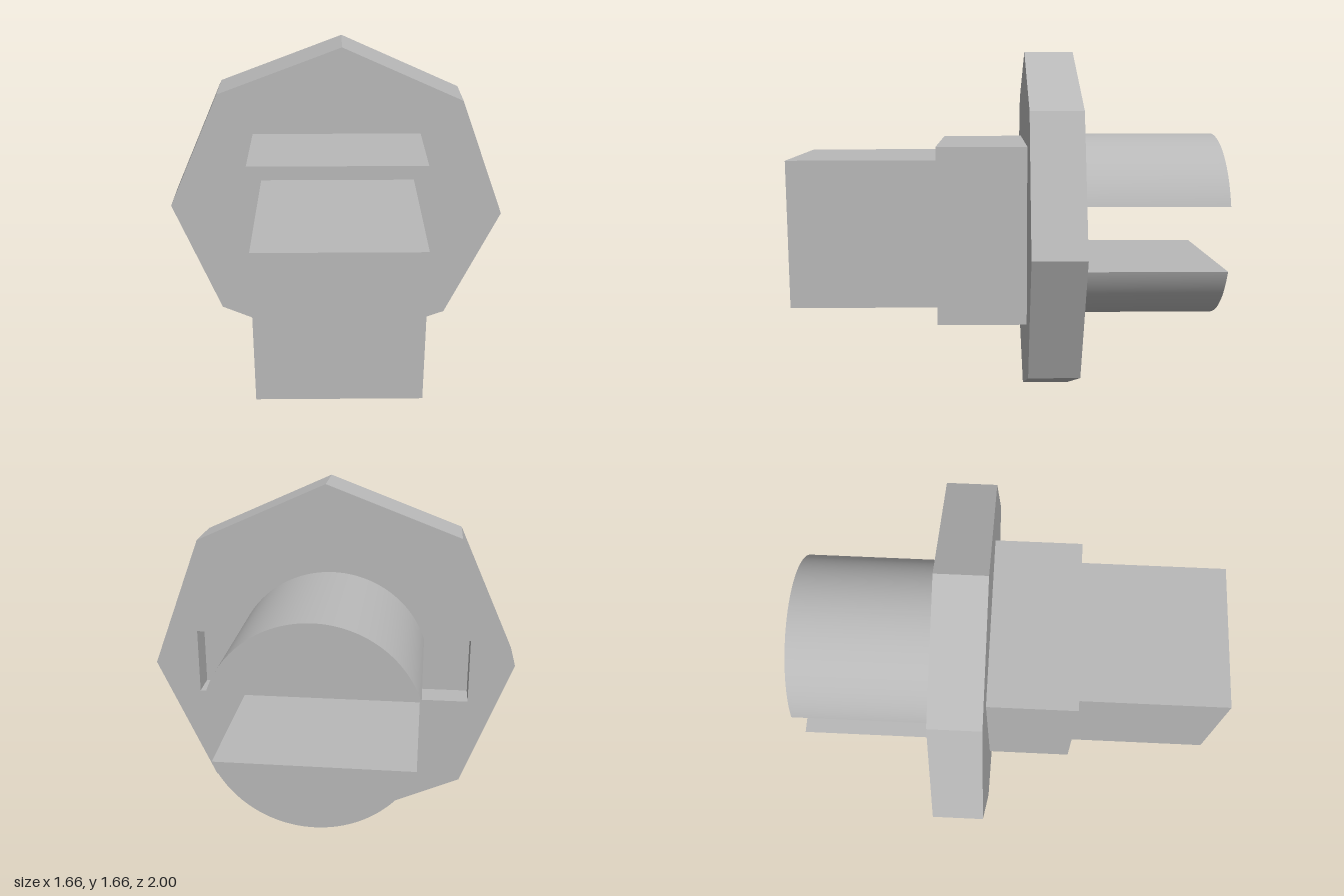
import * as THREE from 'three';
import { toCreasedNormals } from 'three/addons/utils/BufferGeometryUtils.js';

const CX = -0.002, CY = 0.833; // common axis of all parts

export function createModel() {
  const group = new THREE.Group();
  const grey = new THREE.MeshStandardMaterial({ color: 0xb8b8b8 });
  grey.name = 'plain grey';

  const add = (name, geometry) => {
    const mesh = new THREE.Mesh(geometry, grey);
    mesh.name = name;
    group.add(mesh);
  };

  // Square block between two z positions
  const block = (name, size, z0, z1) =>
    add(name, new THREE.BoxGeometry(size, size, z1 - z0).translate(CX, CY, (z0 + z1) / 2));

  // Outline around the axis, extruded between two z positions
  const extrude = (name, shape, z0, z1) => {
    const g = new THREE.ExtrudeGeometry(shape, { depth: z1 - z0, bevelEnabled: false, curveSegments: 48 });
    add(name, toCreasedNormals(g.translate(CX, CY, z0), 0.5));
  };

  // Slightly turned octagonal outline
  const octagon = () => {
    const pts = [];
    for (let i = 0; i < 8; i++) {
      const a = i * Math.PI / 4 - 0.03;
      pts.push(new THREE.Vector2(0.831 * Math.cos(a), 0.831 * Math.sin(a)));
    }
    return new THREE.Shape(pts);
  };

  // Square shank and its wider collar
  block('shank', 0.68, 0.32, 1);
  block('collar', 0.812, -0.086, 0.32);

  // Flange: solid front layer and slotted back layer
  const slotTop = 0.137, slotBottom = -0.162, slotHalf = 0.628;
  const slotted = octagon();
  slotted.holes.push(new THREE.Path([
    new THREE.Vector2(-slotHalf, slotBottom), new THREE.Vector2(-slotHalf, slotTop),
    new THREE.Vector2(slotHalf, slotTop), new THREE.Vector2(slotHalf, slotBottom),
  ]));
  extrude('flangeFront', octagon(), -0.19, -0.086);
  extrude('flangeBack', slotted, -0.317, -0.19);

  // Round boss split in two by the slot
  const r = 0.44;
  const segment = (from, to) => {
    const s = new THREE.Shape();
    s.absarc(0, 0, r, from, to, false);
    s.closePath();
    return s;
  };
  const up = Math.asin(slotTop / r), down = Math.asin(-slotBottom / r);
  extrude('upperProng', segment(up, Math.PI - up), -1, -0.317);
  extrude('lowerProng', segment(Math.PI + down, 2 * Math.PI - down), -1, -0.317);

  return group;
}
